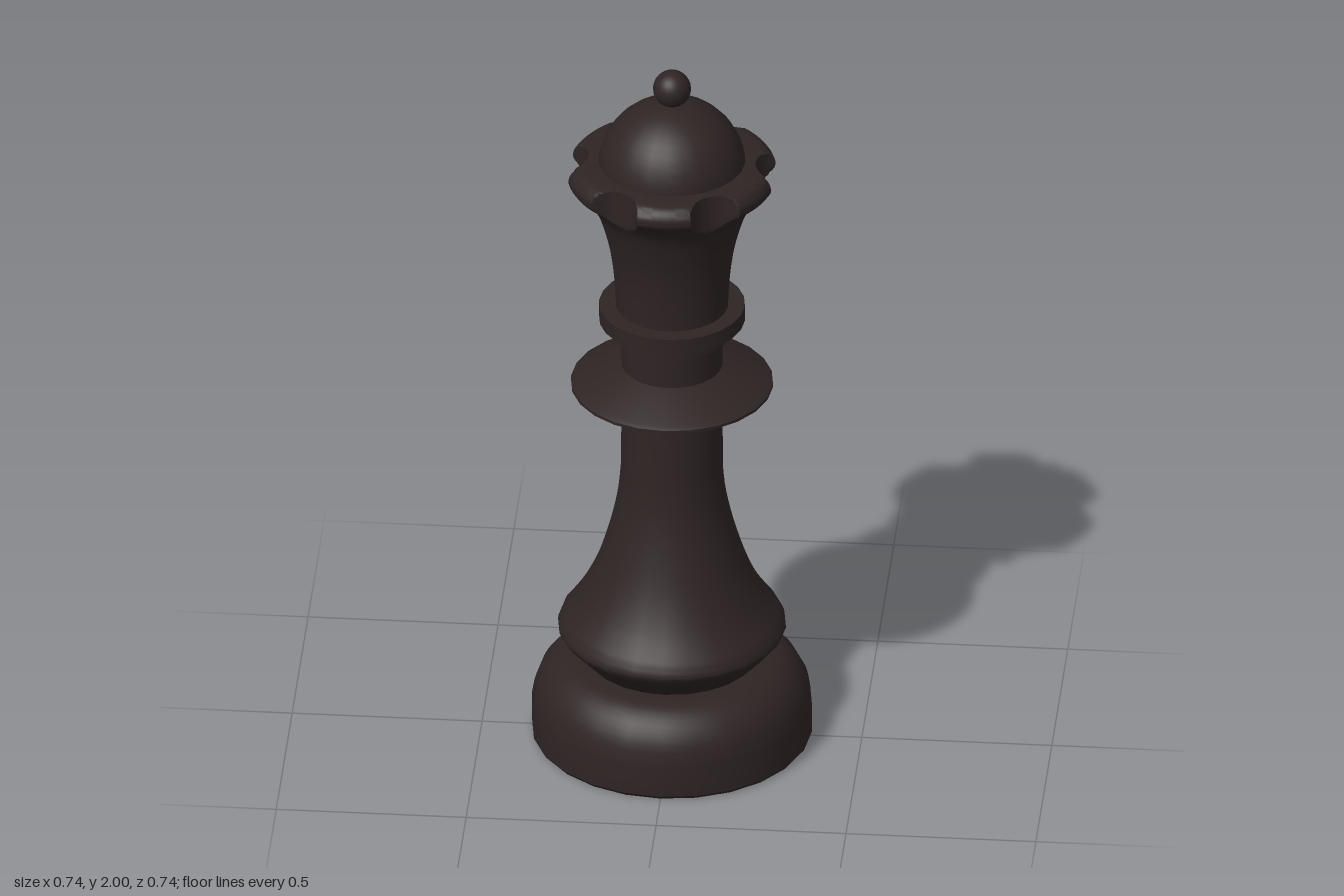
import * as THREE from 'three';
import { toCreasedNormals } from 'three/addons/utils/BufferGeometryUtils.js';

const SIDES = 24;
const v = ([r, y]) => new THREE.Vector2(r, y);

// Smooth curve through a few [radius, height] points.
const curve = (points, steps) => new THREE.SplineCurve(points.map(v)).getPoints(steps);

export function createModel() {
  const group = new THREE.Group();
  group.name = 'chessQueen';
  const ebony = new THREE.MeshStandardMaterial({ color: 0x2e2424 });
  ebony.name = 'ebony';

  const add = (name, geometry) => {
    const mesh = new THREE.Mesh(geometry, ebony);
    mesh.name = name;
    group.add(mesh);
    return mesh;
  };
  const turn = (name, profile) =>
    add(name, toCreasedNormals(new THREE.LatheGeometry(profile, SIDES), 0.55));

  // Heavy rounded foot
  turn('base', [
    v([0, 0]), v([0.36, 0]), v([0.368, 0.01]),
    ...curve([[0.368, 0.1], [0.356, 0.155], [0.328, 0.2], [0.29, 0.228], [0.25, 0.237]], 12),
    v([0, 0.237]),
  ]);

  // Flared body running up into the straight stem
  turn('body', [
    v([0.215, 0.225]), v([0.286, 0.303]),
    ...curve([[0.286, 0.303], [0.3, 0.325], [0.292, 0.35]], 6),
    ...curve([[0.292, 0.35], [0.243, 0.42], [0.2, 0.51], [0.165, 0.62], [0.143, 0.72], [0.134, 0.81]], 18).slice(1),
    v([0.132, 1.26]),
  ]);

  // Thin sharp-edged skirt
  turn('skirt', [
    v([0.13, 1.0]), v([0.255, 1.05]), v([0.266, 1.055]),
    v([0.266, 1.063]), v([0.255, 1.07]), v([0.13, 1.117]),
  ]);

  // Stepped collar
  turn('lowerCollar', [v([0.13, 1.21]), v([0.153, 1.21]), v([0.153, 1.26])]);
  turn('upperCollar', [
    v([0.13, 1.253]), v([0.192, 1.253]), v([0.192, 1.297]), v([0.13, 1.297]),
  ]);

  // Flared crown, with six upright round notches bitten out of its rim
  const profile = [
    ...curve([[0.147, 1.29], [0.149, 1.34], [0.156, 1.42], [0.17, 1.5], [0.198, 1.59], [0.234, 1.645], [0.268, 1.675]], 40),
    ...curve([[0.268, 1.675], [0.276, 1.69], [0.272, 1.712], [0.256, 1.729], [0.235, 1.735]], 12).slice(1),
    v([0.18, 1.735]),
  ];
  const crown = new THREE.LatheGeometry(profile, 240);
  const pos = crown.attributes.position;
  const notchCentre = 0.295, notchRadius = 0.075, pitch = Math.PI / 3;
  for (let i = 0; i < pos.count; i++) {
    const x = pos.getX(i), z = pos.getZ(i);
    const r = Math.hypot(x, z), angle = Math.atan2(z, x);
    const off = angle - Math.round(angle / pitch) * pitch;
    const across = notchCentre * Math.sin(off);
    if (Math.abs(across) >= notchRadius) continue;
    const limit = notchCentre * Math.cos(off) - Math.sqrt(notchRadius ** 2 - across ** 2);
    if (r > limit) {
      pos.setX(i, x * limit / r);
      pos.setZ(i, z * limit / r);
    }
  }
  add('crown', toCreasedNormals(crown, 0.55));

  // Dome and finial ball
  const dome = new THREE.SphereGeometry(0.195, SIDES, 12, 0, Math.PI * 2, 0, Math.PI / 2);
  add('dome', dome).position.y = 1.71;
  add('finial', new THREE.SphereGeometry(0.05, SIDES, 16)).position.y = 1.95;

  return group;
}
